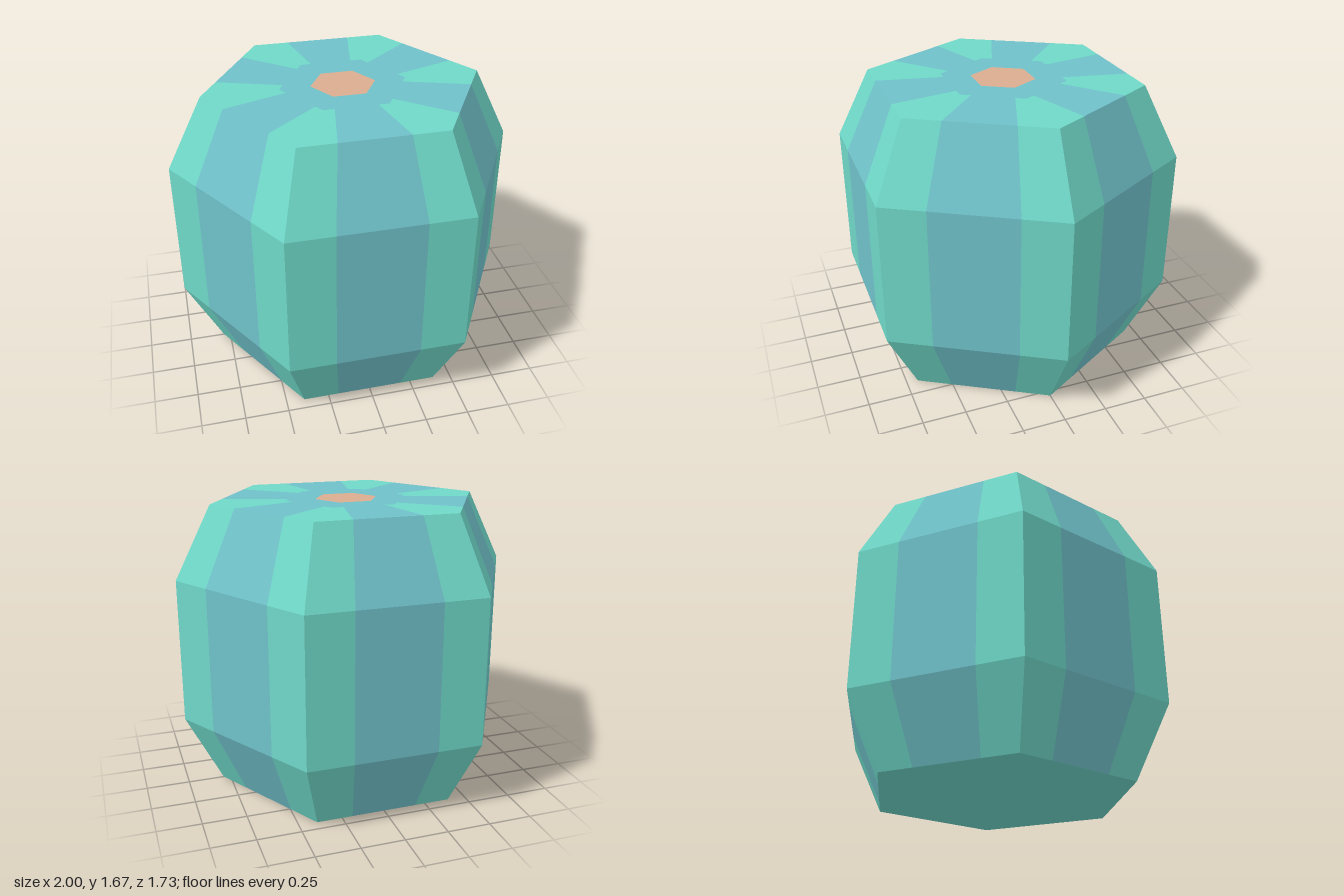
import * as THREE from 'three';

const SIDES = 6;
const EDGE = 0.26; // stripe starts at this fraction of each side's width
// Barrel profile: [corner radius, height]
const PROFILE = [[0.79, 0], [1, 0.415], [1, 1.255], [0.79, 1.67]];
const TOP = 1.67;

// Corner of a hexagon, with a corner on +x
const corner = (r, k) => new THREE.Vector2(
  r * Math.cos((k * Math.PI * 2) / SIDES),
  r * Math.sin((k * Math.PI * 2) / SIDES)
);
const onSide = (r, k, t) => corner(r, k).lerp(corner(r, k + 1), t);
const hexagon = (r) => Array.from({ length: SIDES }, (_, k) => corner(r, k));

// Vertical bands covering part (t0..t1) of every side, from base to rim
function bandGeometry(ranges) {
  const pos = [];
  for (let k = 0; k < SIDES; k++) {
    for (const [t0, t1] of ranges) {
      for (let j = 0; j < PROFILE.length - 1; j++) {
        const [r0, y0] = PROFILE[j];
        const [r1, y1] = PROFILE[j + 1];
        const point = (r, y, t) => {
          const p = onSide(r, k, t);
          return [p.x, y, -p.y];
        };
        const a = point(r0, y0, t0), b = point(r0, y0, t1);
        const c = point(r1, y1, t1), d = point(r1, y1, t0);
        pos.push(...a, ...b, ...c, ...a, ...c, ...d);
      }
    }
  }
  const geo = new THREE.BufferGeometry();
  geo.setAttribute('position', new THREE.Float32BufferAttribute(pos, 3));
  geo.computeVertexNormals();
  return geo;
}

// Flat horizontal face(s), facing up
function flatGeometry(shapes, y) {
  return new THREE.ShapeGeometry(shapes).rotateX(-Math.PI / 2).translate(0, y, 0);
}

export function createModel() {
  const green = new THREE.MeshStandardMaterial({ name: 'mintGreen', color: 0x6fd8c8, flatShading: true });
  const blue = new THREE.MeshStandardMaterial({ name: 'paleBlue', color: 0x6fc1c9, flatShading: true });
  const orange = new THREE.MeshStandardMaterial({ name: 'peach', color: 0xdaac90, flatShading: true });

  const model = new THREE.Group();
  model.name = 'hexagonalBarrel';
  const add = (name, geo, mat) => {
    const mesh = new THREE.Mesh(geo, mat);
    mesh.name = name;
    model.add(mesh);
  };

  // Sides: green corners with a blue stripe down the middle
  add('sideCorners', bandGeometry([[0, EDGE], [1 - EDGE, 1]]), green);
  add('sideStripes', bandGeometry([[EDGE, 1 - EDGE]]), blue);

  // Base
  const base = new THREE.ShapeGeometry(new THREE.Shape(hexagon(PROFILE[0][0])));
  add('base', base.rotateX(Math.PI / 2), green);

  // Top: six green corner patches around a blue star with a peach centre
  const rim = PROFILE[3][0];
  const patches = [];
  const star = [];
  for (let k = 0; k < SIDES; k++) {
    const notch = [
      onSide(rim, k - 1, 1 - EDGE),
      onSide(0.36, k - 1, 0.83),
      corner(0.36, k),
      onSide(0.36, k, 0.17),
      onSide(rim, k, EDGE),
    ];
    star.push(...notch);
    patches.push(new THREE.Shape([corner(rim, k), ...notch.slice().reverse()]));
  }
  const starShape = new THREE.Shape(star);
  starShape.holes.push(new THREE.Path(hexagon(0.185).reverse()));
  add('topPatches', flatGeometry(patches, TOP), green);
  add('topStar', flatGeometry(starShape, TOP), blue);
  add('topCentre', flatGeometry(new THREE.Shape(hexagon(0.185)), TOP), orange);

  return model;
}
